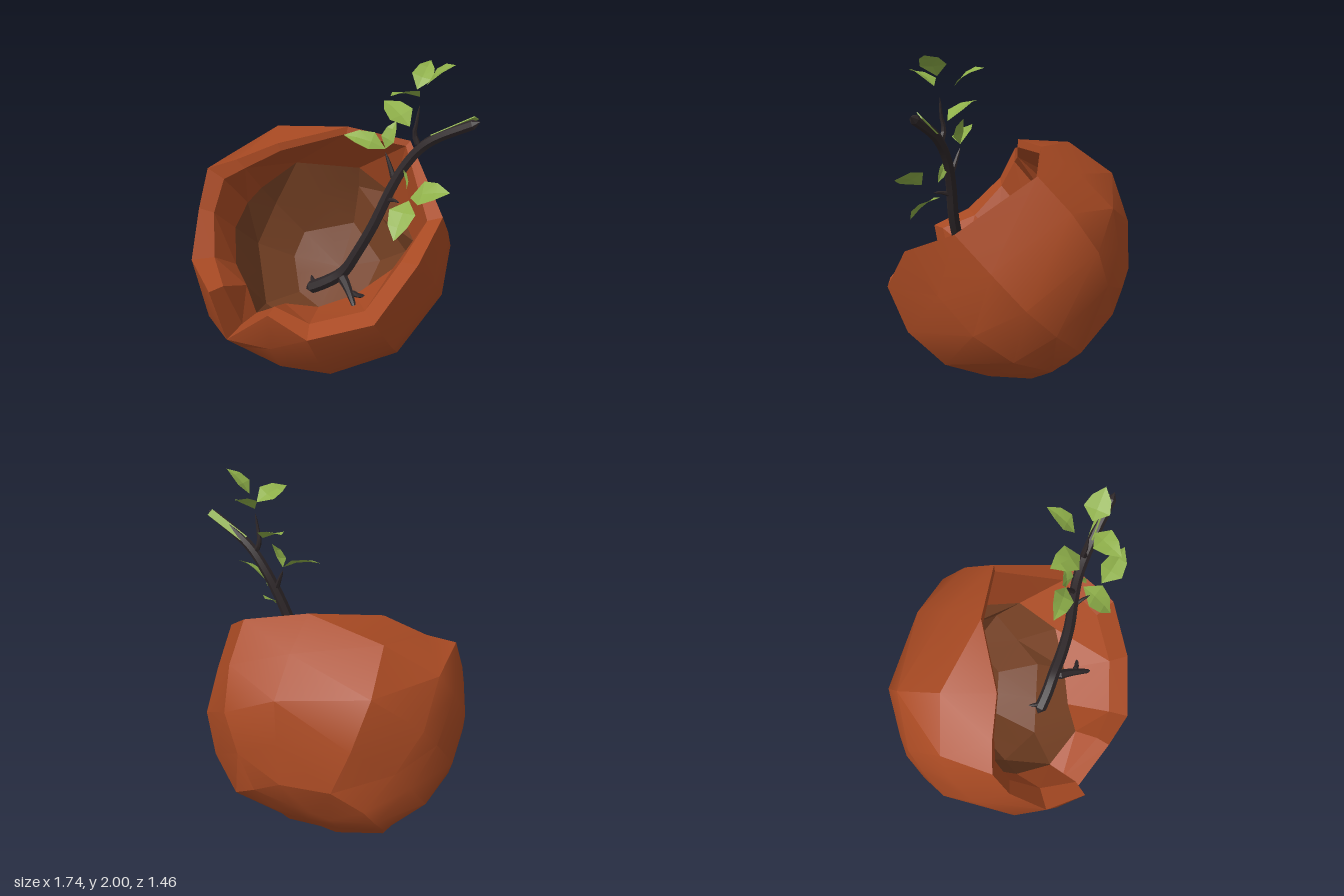
import * as THREE from 'three';
import { toCreasedNormals } from 'three/addons/utils/BufferGeometryUtils.js';

const V = (x, y, z) => new THREE.Vector3(x, y, z);
const CENTER = V(-0.1, 0.67, 0);
const BACK = V(0, -1, -1).normalize(); // direction opposite the opening

// Broken edge of the opening, counterclockwise from the top
const RIM = [
  [0, 1.385, -0.22], [-0.36, 1.33, 0.03], [-0.6, 1.22, 0.1], [-0.76, 1.17, 0.17],
  [-0.78, 0.95, 0.28], [-0.74, 0.72, 0.5], [-0.55, 0.64, 0.68], [-0.5, 0.26, 0.59],
  [-0.18, 0.57, 0.7], [0.07, 0.48, 0.74], [0.42, 0.57, 0.6], [0.61, 0.88, 0.4],
  [0.67, 1.03, 0.08], [0.37, 1.31, -0.3],
].map((p) => V(...p));
const N = RIM.length;

// Wall thickness at the broken edge, as a fraction of the rim's radius
const EDGE = [0.94, 0.93, 0.9, 0.86, 0.88, 0.83, 0.88, 0.84, 0.88, 0.84, 0.84, 0.84, 0.88, 0.95];

// Where the broken wall meets the hollow: depth behind the rim, radius
const LIP = [
  [0.35, 0.6], [0.35, 0.6], [0.33, 0.59], [0.28, 0.58], [0.2, 0.56], [0.15, 0.54], [0.1, 0.54],
  [0.04, 0.58], [0.08, 0.5], [0.14, 0.43], [0.15, 0.42], [0.2, 0.5], [0.28, 0.57], [0.35, 0.6],
];

// Flat cuts that facet the ball, as outlines in the xy, zy and xz planes
const CUTS = [
  ['x', 'y', [[0.62, 1.15], [0.665, 1.02], [0.67, 0.35], [0.4, 0.07], [0.27, 0], [-0.48, 0], [-0.84, 0.34],
    [-0.87, 0.47], [-0.87, 0.88], [-0.76, 1.18], [-0.55, 1.29], [-0.1, 1.4], [0.2, 1.34], [0.62, 1.15]]],
  ['z', 'y', [[0.74, 0.45], [0.48, 0.05], [0.38, 0], [-0.37, 0], [-0.46, 0.1], [-0.74, 0.5],
    [-0.65, 1.1], [-0.24, 1.4]]],
  ['x', 'z', [[0.67, 0.1], [0.67, -0.31], [0.3, -0.68], [-0.22, -0.74], [-0.46, -0.66], [-0.72, -0.46],
    [-0.87, -0.17], [-0.87, 0.1], [-0.72, 0.6], [-0.2, 0.71], [0.07, 0.74], [0.4, 0.6], [0.63, 0.45], [0.67, 0.1]]],
];

// Distance from the centre to the faceted outside along direction d
function outsideRadius(d) {
  let r = 0.815;
  for (const [u, v, line] of CUTS) {
    for (let i = 0; i < line.length - 1; i++) {
      const [a, b] = [line[i], line[i + 1]];
      let [nu, nv] = [b[1] - a[1], a[0] - b[0]];
      let h = (a[0] - CENTER[u]) * nu + (a[1] - CENTER[v]) * nv;
      if (h < 0) [nu, nv, h] = [-nu, -nv, -h];
      const k = d[u] * nu + d[v] * nv;
      if (k > 1e-6) r = Math.min(r, h / k);
    }
  }
  return r;
}

function material(name, hex, side = THREE.FrontSide) {
  const m = new THREE.MeshStandardMaterial({ color: hex, side });
  m.name = name;
  return m;
}

function addMesh(parent, name, geometry, mat) {
  const mesh = new THREE.Mesh(geometry, mat);
  mesh.name = name;
  parent.add(mesh);
  return mesh;
}

// Point at fraction t of the way from rim point p to the back of the ball
function shellPoint(p, t, radius) {
  const d = p.clone().sub(CENTER).normalize();
  const th = d.angleTo(BACK);
  d.multiplyScalar(Math.sin((1 - t) * th)).addScaledVector(BACK, Math.sin(t * th)).normalize();
  return d.multiplyScalar(radius ?? outsideRadius(d)).add(CENTER);
}

// Ring of shell points; a coarse ring merges every two columns
function ring(t, radius, coarse = false) {
  const pts = RIM.map((p) => shellPoint(p, t, radius));
  if (coarse) {
    for (let i = 1; i < N; i += 2) pts[i].lerpVectors(pts[i - 1], pts[(i + 1) % N], 0.5);
  }
  return pts;
}

function loft(rings, crease) {
  const pos = [];
  const tri = (a, b, c) => {
    if (a.distanceTo(b) < 1e-4 || b.distanceTo(c) < 1e-4 || c.distanceTo(a) < 1e-4) return;
    [a, b, c].forEach((p) => pos.push(p.x, p.y, p.z));
  };
  for (let r = 0; r < rings.length - 1; r++) {
    for (let i = 0; i < N; i++) {
      const j = (i + 1) % N;
      const [a, b, c, d] = [rings[r][i], rings[r][j], rings[r + 1][j], rings[r + 1][i]];
      if (a.distanceTo(c) < b.distanceTo(d)) {
        tri(a, b, c);
        tri(a, c, d);
      } else {
        tri(a, b, d);
        tri(b, c, d);
      }
    }
  }
  const g = new THREE.BufferGeometry();
  g.setAttribute('position', new THREE.Float32BufferAttribute(pos, 3));
  return toCreasedNormals(g, crease);
}

// Six-sided tube narrowing from r0 to r1, closed at both ends
function taperedTube(points, r0, r1, steps) {
  const curve = new THREE.CatmullRomCurve3(points.map((p) => V(...p)));
  const g = new THREE.TubeGeometry(curve, steps, 1, 6);
  const pos = g.attributes.position;
  const v = V(0, 0, 0);
  for (let i = 0; i < pos.count; i++) {
    const k = Math.floor(i / 7);
    const c = curve.getPointAt(k / steps);
    const r = k === 0 || k === steps ? 0.001 : r0 + (r1 - r0) * (k / steps);
    v.fromBufferAttribute(pos, i).sub(c).multiplyScalar(r).add(c);
    pos.setXYZ(i, v.x, v.y, v.z);
  }
  return toCreasedNormals(g, 0.4);
}

// Pointed leaf folded along its midrib
function leafGeometry(base, tip, side, width) {
  const a = V(...base);
  const along = V(...tip).sub(a);
  const length = along.length();
  along.normalize();
  const s = V(...side);
  s.addScaledVector(along, -s.dot(along)).normalize();
  const up = V(0, 0, 0).crossVectors(s, along);
  if (up.y < 0) up.negate();
  const at = (t, w, h) => a.clone().addScaledVector(along, t * length)
    .addScaledVector(s, w * width).addScaledVector(up, h * length);
  const pts = [at(0, 0, 0)];
  for (const [t, w, h] of [[0.35, 0.5, 0.08], [0.7, 0.36, 0.07]]) {
    pts.push(at(t, -w, h + 0.04), at(t, 0, h), at(t, w, h + 0.04));
  }
  pts.push(at(1, 0, 0));
  const g = new THREE.BufferGeometry().setFromPoints(pts);
  g.setIndex([0, 2, 1, 0, 3, 2, 1, 2, 5, 1, 5, 4, 2, 3, 6, 2, 6, 5, 4, 5, 7, 5, 6, 7]);
  return toCreasedNormals(g, 0.2);
}

export function createModel() {
  const model = new THREE.Group();
  model.name = 'brokenShellWithBranch';
  const clay = material('clay', 0xa94a23);
  const inside = material('insideBrown', 0x733f23);
  const bark = material('bark', 0x2e2729);
  const green = material('leafGreen', 0x8fb04a, THREE.DoubleSide);

  // Shell: outside, broken edge, then hollow inside
  const innerRim = RIM.map((p, i) => CENTER.clone().lerp(p, EDGE[i]));
  const lip = RIM.map((p, i) => shellPoint(p, ...LIP[i]));
  addMesh(model, 'outerShell', loft([
    ring(1), ring(0.86, undefined, true), ring(0.7), ring(0.53), ring(0.36), ring(0.18), RIM,
  ], 0.5), clay);
  addMesh(model, 'brokenEdge', loft([RIM, innerRim, lip], 0.1), clay);
  addMesh(model, 'hollowInside', loft([
    lip, ring(0.48, 0.57, true), ring(0.72, 0.55, true), ring(1, 0.55),
  ], 0.3), inside);

  // Branch with forked foot and twigs: path, start radius, end radius, steps
  const branch = new THREE.Group();
  branch.name = 'branch';
  model.add(branch);
  const stems = [
    ['mainStem', [[-0.13, 0.46, 0.2], [0.0, 0.54, 0.21], [0.11, 0.63, 0.21], [0.2, 0.79, 0.22],
      [0.3, 1.0, 0.22], [0.39, 1.23, 0.2], [0.47, 1.39, 0.19], [0.59, 1.54, 0.2],
      [0.87, 1.71, 0.23]], 0.04, 0.027, 40],
    ['footFork', [[0.09, 0.62, 0.21], [0.16, 0.59, 0.29], [0.21, 0.56, 0.36], [0.26, 0.52, 0.43]], 0.036, 0.01, 6],
    ['footSpur', [[0.18, 0.58, 0.32], [0.23, 0.56, 0.32], [0.29, 0.55, 0.3]], 0.022, 0.008, 4],
    ['rootSpur', [[-0.04, 0.52, 0.21], [-0.09, 0.51, 0.18], [-0.12, 0.52, 0.13]], 0.022, 0.008, 4],
    ['lowerTwig', [[0.41, 1.27, 0.2], [0.38, 1.34, 0.18], [0.34, 1.43, 0.16]], 0.02, 0.006, 5],
    ['frontTwig', [[0.36, 1.15, 0.2], [0.41, 1.18, 0.24], [0.46, 1.19, 0.28]], 0.016, 0.006, 5],
    ['upperTwig', [[0.55, 1.49, 0.2], [0.51, 1.57, 0.19], [0.52, 1.64, 0.2], [0.535, 1.75, 0.2]], 0.02, 0.004, 7],
  ];
  for (const [name, path, r0, r1, steps] of stems) {
    addMesh(branch, name, taperedTube(path, r0, r1, steps), bark);
  }

  // Green patch on the upper back of the branch end
  const patch = addMesh(branch, 'greenPatch', new THREE.BoxGeometry(0.27, 0.006, 0.045), green);
  patch.position.set(0.727, 1.645, 0.193);
  patch.rotation.set(-0.75, 0, 0.54, 'ZXY');

  // Leaves: base, tip, width direction, width
  const leaves = new THREE.Group();
  leaves.name = 'leaves';
  model.add(leaves);
  [
    [[0.57, 1.87, 0.2], [0.72, 2.0, 0.21], [0, 0.15, -1], 0.15],
    [[0.54, 1.81, 0.23], [0.43, 1.87, 0.42], [1, 0.3, 0.4], 0.14],
    [[0.5, 1.81, 0.13], [0.53, 1.92, -0.05], [1, -0.2, 0], 0.12],
    [[0.48, 1.61, 0.18], [0.3, 1.7, 0.07], [0.5, 0.3, -1], 0.16],
    [[0.34, 1.45, 0.16], [0.1, 1.51, 0.18], [0, 0.4, -0.9], 0.13],
    [[0.34, 1.45, 0.16], [0.39, 1.61, 0.12], [1, -0.2, 0.4], 0.09],
    [[0.53, 1.25, 0.32], [0.76, 1.34, 0.37], [-0.1, 0.45, -0.9], 0.16],
    [[0.5, 1.18, 0.22], [0.47, 1.02, 0.42], [1, 0.15, 0], 0.16],
    [[0.44, 1.38, 0.21], [0.49, 1.26, 0.24], [0.6, 0.2, 0.7], 0.05],
  ].forEach((leaf, i) => addMesh(leaves, `leaf${i + 1}`, leafGeometry(...leaf), green));

  return model;
}
